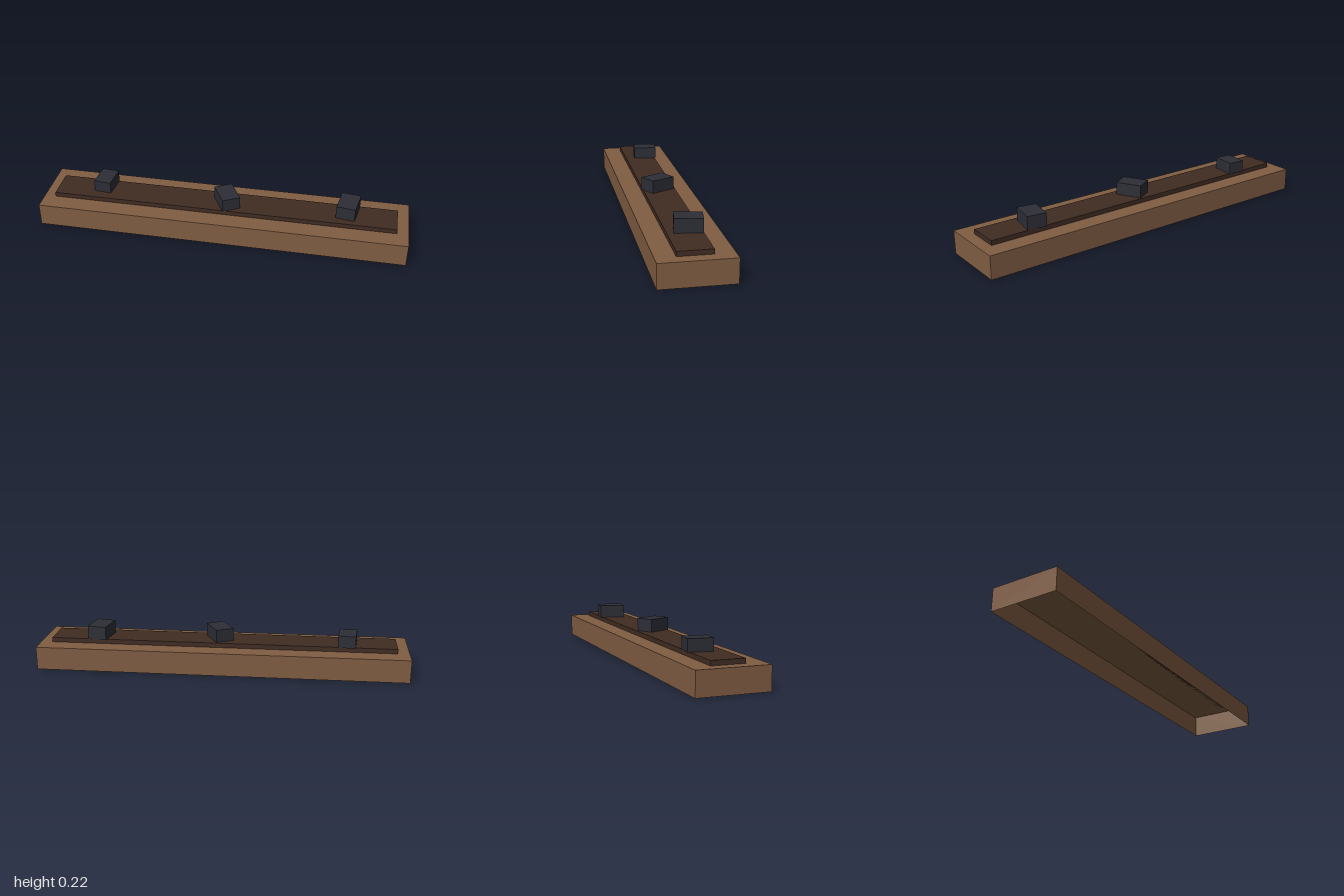
import * as THREE from 'three';

const brown = new THREE.MeshStandardMaterial({ color: 0x805d42, side: THREE.DoubleSide });
brown.name = 'brown wood';
const dark = new THREE.MeshStandardMaterial({ color: 0x402c22 });
dark.name = 'dark wood';
const charcoal = new THREE.MeshStandardMaterial({ color: 0x2d2e36 });
charcoal.name = 'charcoal';

// Box standing on height y
function box(name, material, w, h, d, x, y, z, turn = 0) {
  const mesh = new THREE.Mesh(new THREE.BoxGeometry(w, h, d), material);
  mesh.name = name;
  mesh.position.set(x, y + h / 2, z);
  mesh.rotation.y = turn;
  return mesh;
}

export function createModel() {
  const model = new THREE.Group();
  model.name = 'plinthWithBlocks';

  // Hollow base: thin shell with an open underside
  const base = box('base', brown, 2, 0.125, 0.375, 0, 0, 0);
  const g = base.geometry;
  const bottom = g.groups[3];
  g.setIndex([...g.index.array].filter((_, i) => i < bottom.start || i >= bottom.start + bottom.count));
  g.clearGroups();
  model.add(base);

  // Raised dark panel
  model.add(box('panel', dark, 1.875, 0.025, 0.175, 0, 0.125, 0));

  // Loose blocks: width, height, depth, x, z, turn
  const blocks = [
    ['rightBlock', 0.094, 0.065, 0.13, -0.673, -0.032, -0.09],
    ['middleBlock', 0.1, 0.069, 0.142, 0.019, 0.008, 0.5],
    ['leftBlock', 0.103, 0.072, 0.141, 0.673, -0.023, -0.16],
  ];
  for (const [name, w, h, d, x, z, turn] of blocks) {
    model.add(box(name, charcoal, w, h, d, x, 0.15, z, turn));
  }
  return model;
}
